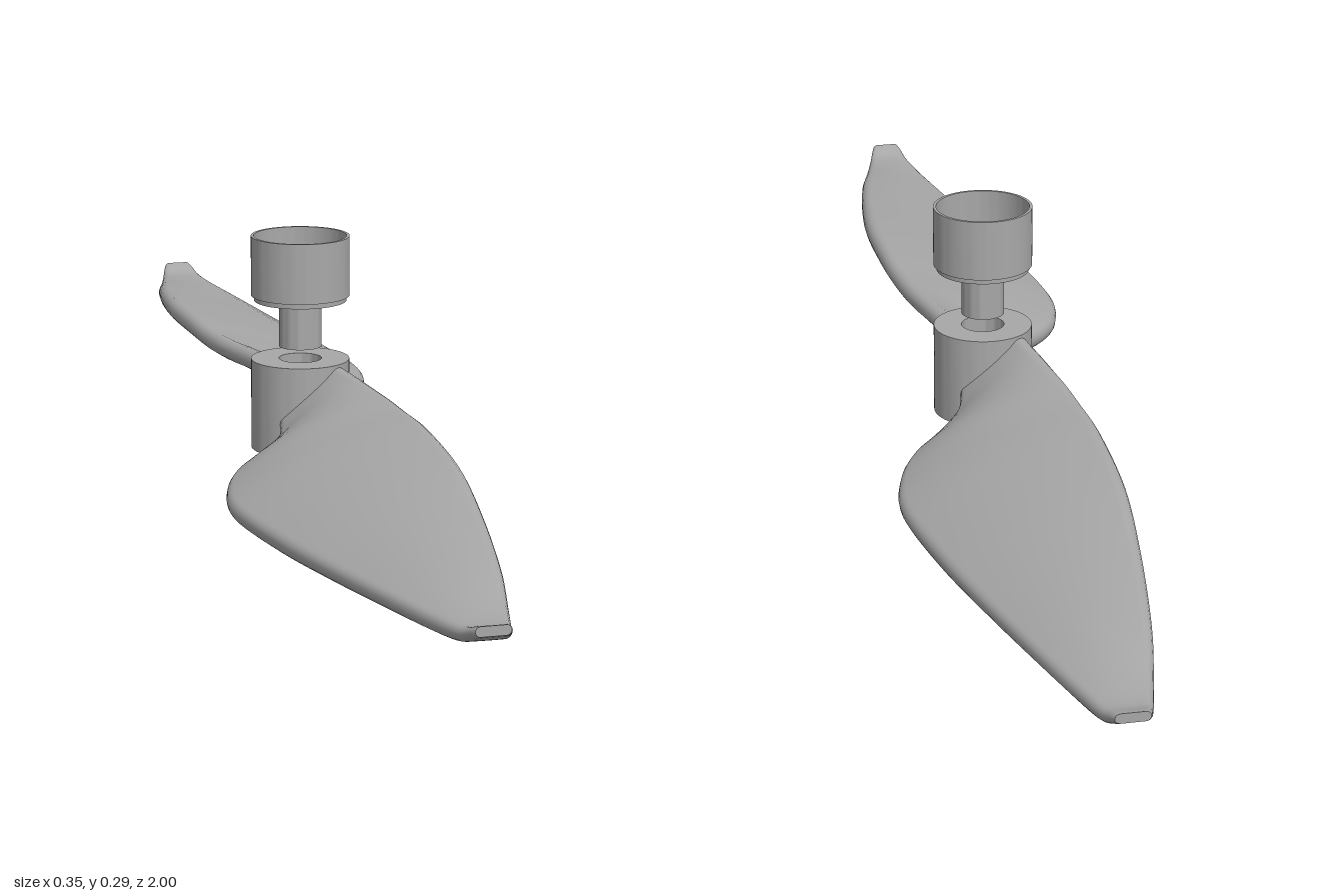
import * as THREE from 'three';
import { toCreasedNormals } from 'three/addons/utils/BufferGeometryUtils.js';

// Blade stations: z, left x, right x, left y, right y, edge radius, camber
const STATIONS = [
  [0.035, -0.038, 0.05, 0.05, 0.11, 0.014, 0],
  [0.1, -0.055, 0.06, 0.041, 0.107, 0.014, 0.004],
  [0.15, -0.093, 0.067, 0.03, 0.104, 0.014, 0.008],
  [0.2, -0.135, 0.073, 0.024, 0.102, 0.014, 0.01],
  [0.26, -0.163, 0.077, 0.019, 0.1, 0.014, 0.01],
  [0.35, -0.177, 0.08, 0.017, 0.099, 0.014, 0.01],
  [0.5, -0.16, 0.075, 0.02, 0.09, 0.014, 0.009],
  [0.65, -0.133, 0.056, 0.025, 0.074, 0.013, 0.008],
  [0.8, -0.104, 0.03, 0.032, 0.056, 0.012, 0.006],
  [0.9, -0.084, 0.006, 0.037, 0.043, 0.011, 0.003],
  [0.96, -0.073, -0.01, 0.043, 0.043, 0.009, 0],
  [0.99, -0.067, -0.019, 0.053, 0.053, 0.007, 0],
  [1.0, -0.064, -0.023, 0.057, 0.057, 0.006, 0],
];

// Smooth interpolation of every station column
function stationAt(t) {
  const f = t * (STATIONS.length - 1);
  const i = Math.min(Math.floor(f), STATIONS.length - 2);
  const k = f - i;
  const row = (n) => STATIONS[THREE.MathUtils.clamp(n, 0, STATIONS.length - 1)];
  return row(i).map((p1, c) => {
    const p0 = row(i - 1)[c], p2 = row(i + 1)[c], p3 = row(i + 2)[c];
    const m1 = (p2 - p0) / 2, m2 = (p3 - p1) / 2;
    return p1 + k * (m1 + k * (3 * (p2 - p1) - 2 * m1 - m2 + k * (2 * (p1 - p2) + m1 + m2)));
  });
}

// Round-edged, cambered cross-section, counterclockwise seen from +z
function section([z, xl, xr, yl, yr, r, camber]) {
  const a = new THREE.Vector2(xl + r, yl), b = new THREE.Vector2(xr - r, yr);
  const angle = Math.atan2(b.y - a.y, b.x - a.x);
  const points = [];
  const add = (u, dir) => {
    const bow = camber * 4 * u * (1 - u);
    points.push([
      a.x + (b.x - a.x) * u + Math.cos(angle + dir) * r - Math.sin(angle) * bow,
      a.y + (b.y - a.y) * u + Math.sin(angle + dir) * r + Math.cos(angle) * bow, z]);
  };
  const half = Math.PI / 2;
  for (let i = 0; i <= 8; i++) add(1, -half + Math.PI * i / 8);
  for (let i = 1; i < 10; i++) add(1 - i / 10, half);
  for (let i = 0; i <= 8; i++) add(0, half + Math.PI * i / 8);
  for (let i = 1; i < 10; i++) add(i / 10, -half);
  return points;
}

function bladeGeometry() {
  const rings = 72, positions = [], index = [];
  let n = 0;
  for (let i = 0; i <= rings; i++) {
    const pts = section(stationAt(i / rings));
    n = pts.length;
    positions.push(...pts.flat());
  }
  for (let i = 0; i < rings; i++) {
    for (let j = 0; j < n; j++) {
      const a = i * n + j, b = i * n + (j + 1) % n;
      index.push(a, b, a + n, b, b + n, a + n);
    }
  }
  // Flat tip with its own vertices
  const tip = section(stationAt(1)), start = positions.length / 3;
  positions.push(...tip.flat());
  for (let j = 1; j < n - 1; j++) index.push(start, start + j, start + j + 1);
  const geometry = new THREE.BufferGeometry();
  geometry.setAttribute('position', new THREE.Float32BufferAttribute(positions, 3));
  geometry.setIndex(index);
  geometry.computeVertexNormals();
  return geometry;
}

// Turned part from a closed profile of [radius, height], running up the outside
function turned(name, profile, material) {
  const points = [...profile, profile[0]].map(([r, y]) => new THREE.Vector2(r, y));
  const mesh = new THREE.Mesh(toCreasedNormals(new THREE.LatheGeometry(points, 64), 0.6), material);
  mesh.name = name;
  return mesh;
}

export function createModel() {
  const group = new THREE.Group();
  group.name = 'propeller';
  const grey = new THREE.MeshStandardMaterial({ color: 0xa8a8a8 });
  grey.name = 'grey plastic';

  // Hub with a stepped bore
  group.add(turned('hub', [
    [0.017, 0.003], [0.067, 0.003], [0.067, 0.127], [0.029, 0.127], [0.029, 0.06], [0.017, 0.06],
  ], grey));

  // Open cup on a hollow stem, lifted clear of the hub
  group.add(turned('cap', [
    [0.017, 0.144], [0.029, 0.144], [0.029, 0.208], [0.063, 0.208], [0.063, 0.215],
    [0.067, 0.215], [0.067, 0.297], [0.063, 0.297], [0.063, 0.222], [0.017, 0.222],
  ], grey));

  // Two identical blades, half a turn apart
  const geometry = bladeGeometry();
  ['frontBlade', 'backBlade'].forEach((name, i) => {
    const blade = new THREE.Mesh(geometry, grey);
    blade.name = name;
    blade.rotation.y = i * Math.PI;
    group.add(blade);
  });
  return group;
}
